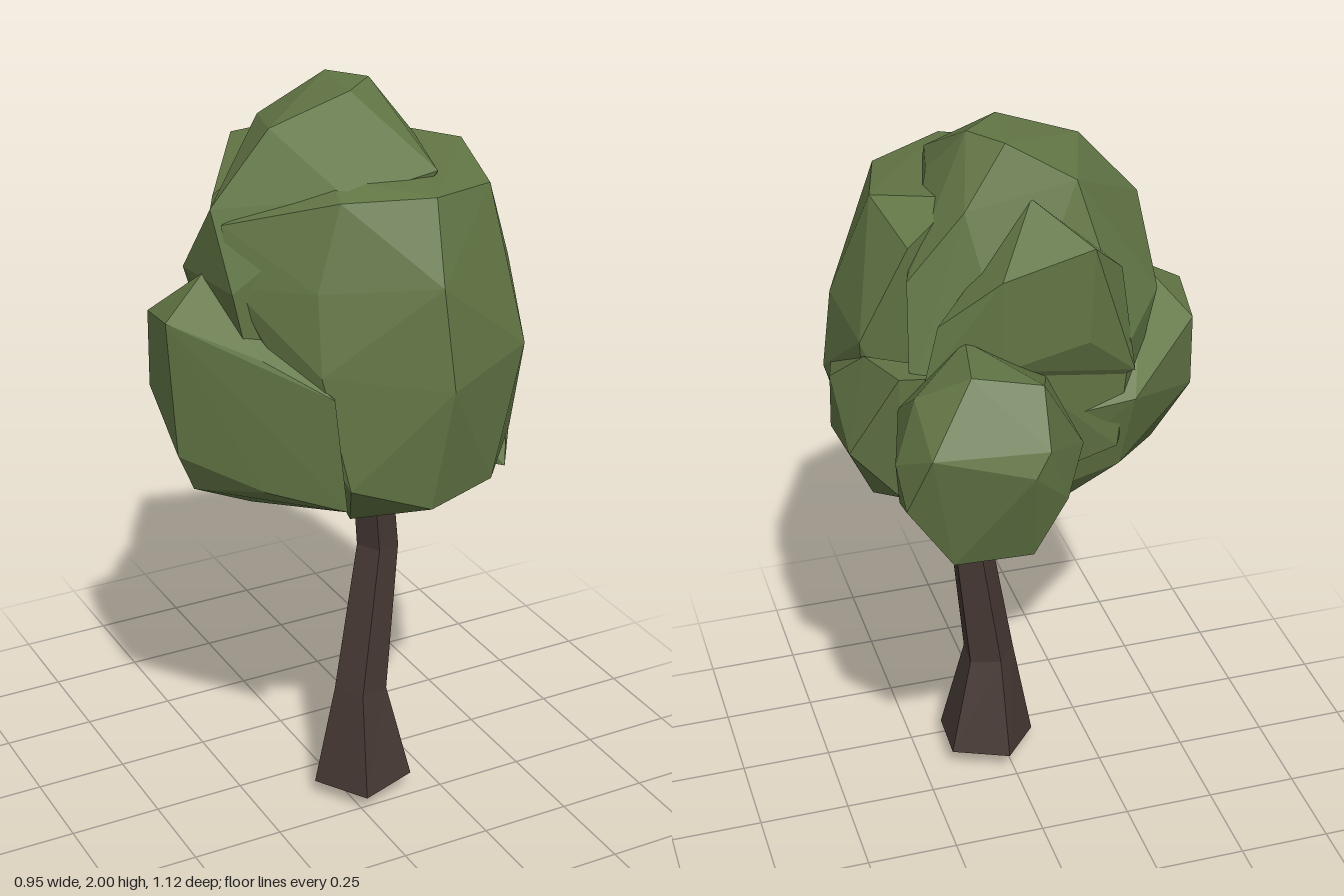
import * as THREE from 'three';
import { ConvexGeometry } from 'three/addons/geometries/ConvexGeometry.js';

// Flat-faced limb: polygon rings [x, y, z, radius] swept square to the path
function limb(rings, sides, turn = 0) {
  const centres = rings.map(([x, y, z]) => new THREE.Vector3(x, y, z));
  const last = rings.length - 1;
  const loops = rings.map(([, , , r], i) => {
    const t = centres[Math.min(i + 1, last)].clone().sub(centres[Math.max(i - 1, 0)]).normalize();
    const u = new THREE.Vector3(1, 0, 0).addScaledVector(t, -t.x).normalize();
    const v = u.clone().cross(t);
    return Array.from({ length: sides }, (_, k) => {
      const a = turn + (k / sides) * Math.PI * 2;
      return centres[i].clone().addScaledVector(u, r * Math.cos(a)).addScaledVector(v, r * Math.sin(a));
    });
  });
  const points = [];
  for (let i = 0; i < last; i++) {
    for (let k = 0; k < sides; k++) {
      const n = (k + 1) % sides;
      const [a, b, c, d] = [loops[i][k], loops[i][n], loops[i + 1][k], loops[i + 1][n]];
      if (rings[i][3] > 0) points.push(b, a, c);
      if (rings[i + 1][3] > 0) points.push(b, c, d);
    }
  }
  const g = new THREE.BufferGeometry().setFromPoints(points);
  g.computeVertexNormals();
  return g;
}

// Faceted leaf clump: hull around a few corner points
const clump = (corners) => new ConvexGeometry(corners.map((p) => new THREE.Vector3(...p)));

export function createModel() {
  const model = new THREE.Group();
  model.name = 'tree';
  const bark = new THREE.MeshStandardMaterial({ color: 0x463934, flatShading: true });
  bark.name = 'bark brown';
  const leaf = new THREE.MeshStandardMaterial({ color: 0x627645, flatShading: true });
  leaf.name = 'leaf green';
  const add = (name, geometry, material) => {
    const mesh = new THREE.Mesh(geometry, material);
    mesh.name = name;
    model.add(mesh);
  };

  // Trunk with a flared foot, bending into the crown
  add('trunk', limb([
    [0.06, 0, 0.14, 0], [0.055, 0.055, 0.145, 0.14], [0.04, 0.34, 0.16, 0.074],
    [0.095, 0.76, 0.147, 0.058], [0.07, 0.95, 0.165, 0.055], [0.05, 1.3, 0.16, 0.03],
  ], 5, 0.68), bark);

  // Side branch carrying the rear clump
  add('branch', limb([
    [0.1, 0.785, 0.15, 0.045], [0.11, 0.805, 0.07, 0.042], [0.125, 0.835, 0, 0.036],
    [0.17, 1.03, -0.17, 0.028], [0.2, 1.2, -0.3, 0.02],
  ], 5, 0.3), bark);

  // Crown clumps
  add('frontClump', clump([
    [-0.13, 1.81, 0.36], [0.08, 1.82, 0.45], [0.28, 1.8, 0.36], [0.35, 1.83, 0.1],
    [0.3, 1.76, -0.08], [-0.1, 1.84, 0.25], [-0.2, 1.6, 0.38], [-0.21, 1.4, 0.42],
    [0.08, 1.36, 0.56], [0.34, 1.4, 0.45], [0.44, 1.53, 0.2], [0.46, 1.3, 0.23],
    [0.42, 1.5, -0.04], [0.06, 1.62, 0.53], [-0.15, 1.1, 0.46], [0.05, 1.03, 0.51],
    [0.25, 1.05, 0.46], [0.4, 1.1, 0.3], [0.37, 1.0, 0.1], [-0.1, 0.97, 0.36],
    [0.17, 0.95, 0.36], [0.05, 0.915, 0.17], [0.2, 0.94, 0], [-0.34, 1.58, 0.2],
    [-0.34, 1.72, 0.14], [0.16, 1.86, -0.04],
  ]), leaf);

  add('topClump', clump([
    [-0.35, 1.75, 0.1], [-0.35, 1.57, 0.22], [-0.355, 1.55, -0.06], [-0.19, 1.93, 0.1],
    [-0.12, 1.9, -0.11], [0.02, 2, 0.12], [0.12, 2, 0.03], [0.05, 2, -0.07],
    [0.2, 1.87, 0.12], [0.17, 1.86, -0.13], [-0.23, 1.5, -0.22], [0.31, 1.68, -0.1],
    [0.33, 1.4, -0.18], [0.1, 1.5, -0.27], [-0.2, 1.2, -0.22], [-0.1, 1.81, 0.34],
    [0.1, 1.1, -0.2], [-0.3, 1.3, 0.25], [0.15, 1.84, 0.33],
  ]), leaf);

  add('backKnob', clump([
    [-0.11, 1.8, -0.29], [0.12, 1.74, -0.285], [-0.1, 1.55, -0.29], [0.12, 1.5, -0.285],
    [0, 1.87, -0.12], [-0.22, 1.68, -0.17], [0.26, 1.6, -0.2], [0, 1.3, -0.15],
    [-0.24, 1.42, -0.23], [0.3, 1.45, -0.21],
  ]), leaf);

  add('rightClump', clump([
    [-0.48, 1.48, 0.11], [-0.455, 1.45, -0.06], [-0.35, 1.57, 0.05], [-0.46, 1.25, -0.05],
    [-0.46, 1.12, 0.12], [-0.41, 1.01, 0.1], [-0.31, 1.07, 0.31], [-0.31, 1.42, 0.3],
    [-0.17, 1.06, 0.48], [-0.19, 1.35, 0.45], [-0.24, 1.34, -0.24], [-0.22, 1.12, -0.18],
    [-0.27, 0.96, 0.14], [-0.1, 0.94, 0.2], [-0.08, 0.98, -0.1], [0.1, 1.03, -0.17],
    [0.1, 1.3, -0.23],
  ]), leaf);

  add('leftClump', clump([
    [0.475, 1.35, 0.08], [0.47, 1.22, -0.1], [0.47, 1.18, 0.12], [0.36, 1.47, -0.2],
    [0.41, 1.46, -0.04], [0.36, 1.12, -0.18], [0.38, 1.0, 0.05], [0.1, 1.45, -0.22],
    [0.1, 0.97, -0.09], [0.44, 1.33, 0.22], [0.44, 1.12, 0.24], [0.34, 1.03, 0.38],
  ]), leaf);

  add('rearClump', clump([
    [0.42, 1.35, -0.39], [0.41, 1.25, -0.45], [0.36, 1.42, -0.515], [0.12, 1.36, -0.565],
    [0.08, 1.42, -0.55], [0.02, 1.25, -0.5], [-0.07, 1.3, -0.34], [0.24, 1.58, -0.43],
    [0.07, 1.55, -0.46], [0.2, 1.57, -0.23], [0.36, 1.5, -0.35], [0.1, 1.09, -0.48],
    [0.3, 1.09, -0.47], [0.2, 1.02, -0.3], [0.13, 1.03, -0.18], [0.38, 1.15, -0.25],
    [0.28, 1.09, -0.08], [0, 1.12, -0.25], [0.36, 1.38, -0.18], [0, 1.45, -0.25],
  ]), leaf);

  return model;
}
